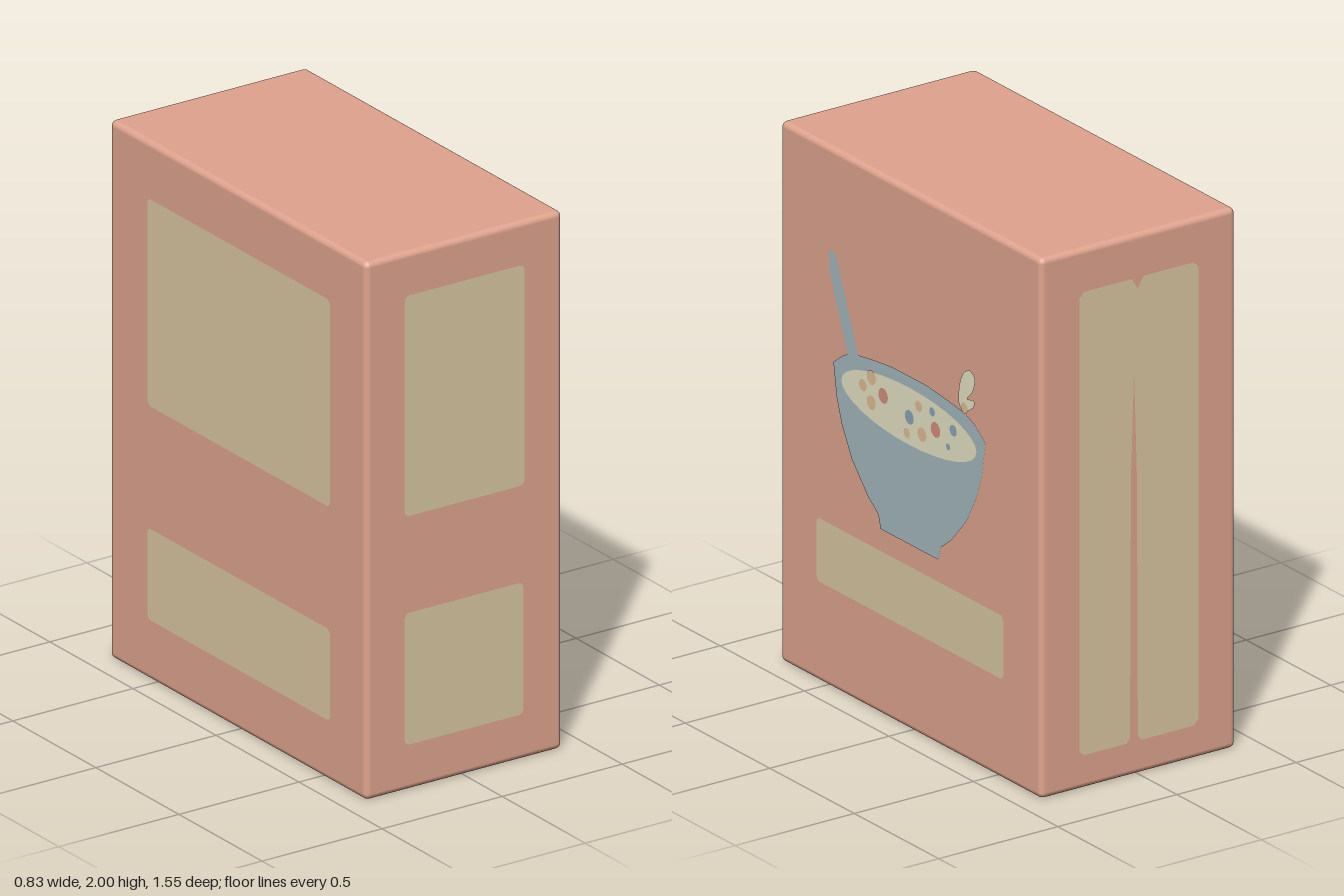
import * as THREE from 'three';
import { RoundedBoxGeometry } from 'three/addons/geometries/RoundedBoxGeometry.js';

const W = 0.82, H = 2, D = 1.545;

function material(name, color) {
  const m = new THREE.MeshStandardMaterial({ color });
  m.name = name;
  return m;
}

// Rounded rectangle between two corners
function panelShape(x0, y0, x1, y1, r = 0.022) {
  const s = new THREE.Shape();
  s.absarc(x1 - r, y1 - r, r, 0, Math.PI / 2);
  s.absarc(x0 + r, y1 - r, r, Math.PI / 2, Math.PI);
  s.absarc(x0 + r, y0 + r, r, Math.PI, Math.PI * 1.5);
  s.absarc(x1 - r, y0 + r, r, Math.PI * 1.5, Math.PI * 2);
  return s;
}

function ellipseShape(x, y, rx, ry = rx) {
  return new THREE.Shape().absellipse(x, y, rx, ry, 0, Math.PI * 2);
}

function polygon(points) {
  return new THREE.Shape(points.map(([x, y]) => new THREE.Vector2(x, y)));
}

// Smooth closed outline through a few points
function blob(points) {
  const curve = new THREE.SplineCurve([...points, points[0]].map(([x, y]) => new THREE.Vector2(x, y)));
  return new THREE.Shape(curve.getPoints(points.length * 5).slice(0, -1));
}

export function createModel() {
  const model = new THREE.Group();
  model.name = 'cerealBox';

  const salmon = material('salmon card', 0xe0a48e);
  const tan = material('tan label', 0xdac7a2);
  const blue = material('bowl blue', 0xa3b8be);
  const cream = material('milk cream', 0xe6e3c5);
  const orange = material('orange cereal', 0xe3bd96);
  const red = material('red cereal', 0xd4907c);
  const slate = material('blue cereal', 0x8fa5ba);

  // Carton
  const carton = new THREE.Mesh(new RoundedBoxGeometry(W, H, D, 2, 0.022), salmon);
  carton.name = 'carton';
  carton.position.y = H / 2;
  model.add(carton);

  // One group per printed face: local x runs to the viewer's right, local z points outwards
  function side(name, angle, distance) {
    const g = new THREE.Group();
    g.name = name;
    g.rotation.y = angle;
    g.position.set(Math.sin(angle) * distance, 0, Math.cos(angle) * distance);
    model.add(g);
    return g;
  }
  function print(parent, name, shape, mat, layer = 1) {
    const mesh = new THREE.Mesh(new THREE.ShapeGeometry(shape, 16), mat);
    mesh.name = name;
    mesh.position.z = layer * 0.002;
    parent.add(mesh);
  }

  const front = side('frontPrint', 0, D / 2);
  const back = side('backPrint', Math.PI, D / 2);
  const picture = side('picturePrint', Math.PI / 2, W / 2);
  const plain = side('plainPrint', -Math.PI / 2, W / 2);

  // Narrow front labels
  print(front, 'upperLabel', panelShape(-0.25, 1.02, 0.25, 1.84), tan);
  print(front, 'lowerLabel', panelShape(-0.25, 0.17, 0.245, 0.66), tan);

  // Back label, split by a slot that narrows upwards, with a notch on top
  print(back, 'splitLabel', polygon([
    [-0.25, 0.145], [-0.23, 0.125], [-0.05, 0.125], [-0.037, 0.145],
    [-0.033, 1.1], [-0.02, 1.5], [-0.008, 1.1], [-0.004, 0.145], [0.01, 0.125],
    [0.23, 0.125], [0.25, 0.145], [0.25, 1.82], [0.23, 1.84],
    [0.02, 1.84], [-0.005, 1.8], [-0.03, 1.84], [-0.23, 1.84], [-0.25, 1.82],
  ]), tan);

  // Wide labels on the plain side
  print(plain, 'upperLabel', panelShape(-0.54, 1.02, 0.56, 1.79), tan);
  print(plain, 'lowerLabel', panelShape(-0.54, 0.225, 0.56, 0.565), tan);

  // Picture side: label, spoon, bowl and milk
  print(picture, 'nameLabel', panelShape(-0.553, 0.372, 0.555, 0.607), tan);
  print(picture, 'spoon', polygon([
    [-0.35, 1.22], [-0.29, 1.25], [-0.32, 1.32], [-0.365, 1.43], [-0.41, 1.55],
    [-0.435, 1.605], [-0.46, 1.63], [-0.48, 1.61], [-0.475, 1.54], [-0.42, 1.4],
  ]), blue);
  const halfBowl = [
    [0.17, 0.69], [0.185, 0.74], [0.245, 0.785], [0.34, 0.89], [0.4, 1.0], [0.43, 1.09],
    [0.443, 1.17], [0.45, 1.215], [0.39, 1.26], [0.33, 1.285], [0.22, 1.3], [0.1, 1.312],
  ];
  print(picture, 'bowl', polygon([
    ...halfBowl, ...halfBowl.map(([x, y]) => [-x, y]).reverse(),
  ]), blue, 2);
  print(picture, 'milk', ellipseShape(0, 1.165, 0.4, 0.106), cream, 3);
  print(picture, 'splash', blob([
    [0.36, 1.455], [0.39, 1.435], [0.38, 1.385], [0.345, 1.345], [0.385, 1.35],
    [0.38, 1.322], [0.33, 1.295], [0.295, 1.315], [0.3, 1.385], [0.325, 1.435],
  ]), cream, 3);

  // Cereal pieces: x, y, radius
  const pieces = [
    [orange, [[-0.27, 1.19, 0.022], [-0.22, 1.235, 0.027], [-0.22, 1.142, 0.026], [0.06, 1.222, 0.02],
      [0.08, 1.123, 0.026], [-0.01, 1.1, 0.018], [0.33, 1.305, 0.02]]],
    [red, [[-0.15, 1.19, 0.028], [0.16, 1.168, 0.028]]],
    [slate, [[0.005, 1.163, 0.026], [0.265, 1.2, 0.021], [0.14, 1.228, 0.016], [0.235, 1.13, 0.012]]],
  ];
  for (const [mat, list] of pieces) {
    for (const [x, y, r] of list) print(picture, 'cerealPiece', ellipseShape(x, y, r), mat, 4);
  }

  return model;
}
